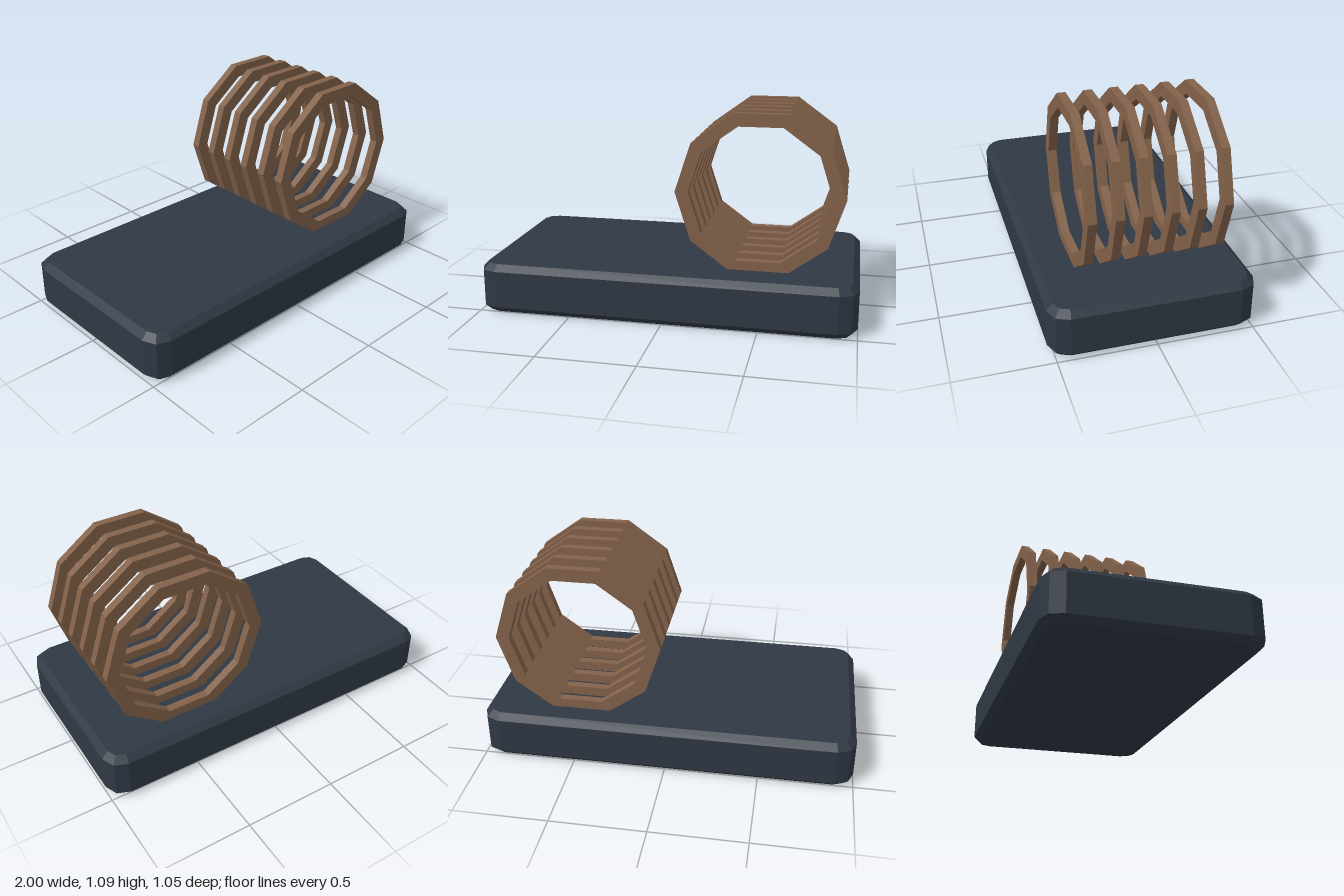
import * as THREE from 'three';

const slate = new THREE.MeshStandardMaterial({ name: 'darkSlate', color: 0x2f3844, flatShading: true });
const brown = new THREE.MeshStandardMaterial({ name: 'brown', color: 0x83624a, flatShading: true });

// Chamfered slab with two-facet rounded corners
function createBase() {
  const w = 0.966, d = 0.493, r = 0.07, bevel = 0.034, height = 0.267;
  const shape = new THREE.Shape();
  shape.absarc(w - r, d - r, r, 0, Math.PI / 2);
  shape.absarc(-w + r, d - r, r, Math.PI / 2, Math.PI);
  shape.absarc(-w + r, -d + r, r, Math.PI, Math.PI * 1.5);
  shape.absarc(w - r, -d + r, r, Math.PI * 1.5, Math.PI * 2);
  shape.closePath();
  const geometry = new THREE.ExtrudeGeometry(shape, {
    depth: height - 2 * bevel, curveSegments: 1,
    bevelEnabled: true, bevelSegments: 1, bevelSize: bevel, bevelThickness: bevel,
  });
  geometry.rotateX(-Math.PI / 2).translate(0, bevel, 0);
  const base = new THREE.Mesh(geometry, slate);
  base.name = 'base';
  return base;
}

// Corner points of a regular ten-sided outline
function decagon(radius) {
  return Array.from({ length: 10 }, (_, i) => {
    const a = (i * Math.PI) / 5;
    return new THREE.Vector2(Math.cos(a) * radius, Math.sin(a) * radius);
  });
}

// Row of identical ten-sided hoops, sunk slightly into the base
function createHoops() {
  const thickness = 0.044;
  const shape = new THREE.Shape(decagon(0.441));
  shape.holes.push(new THREE.Path(decagon(0.37)));
  const geometry = new THREE.ExtrudeGeometry(shape, { depth: thickness, bevelEnabled: false });
  geometry.translate(0, 0, -thickness / 2);

  const hoops = new THREE.Group();
  hoops.name = 'hoops';
  for (let i = 0; i < 6; i++) {
    const hoop = new THREE.Mesh(geometry, brown);
    hoop.name = `hoop${i + 1}`;
    hoop.position.set(0.476, 0.67, 0.302 - i * 0.1334);
    hoops.add(hoop);
  }
  return hoops;
}

export function createModel() {
  const model = new THREE.Group();
  model.name = 'hoopStand';
  model.add(createBase(), createHoops());
  return model;
}
